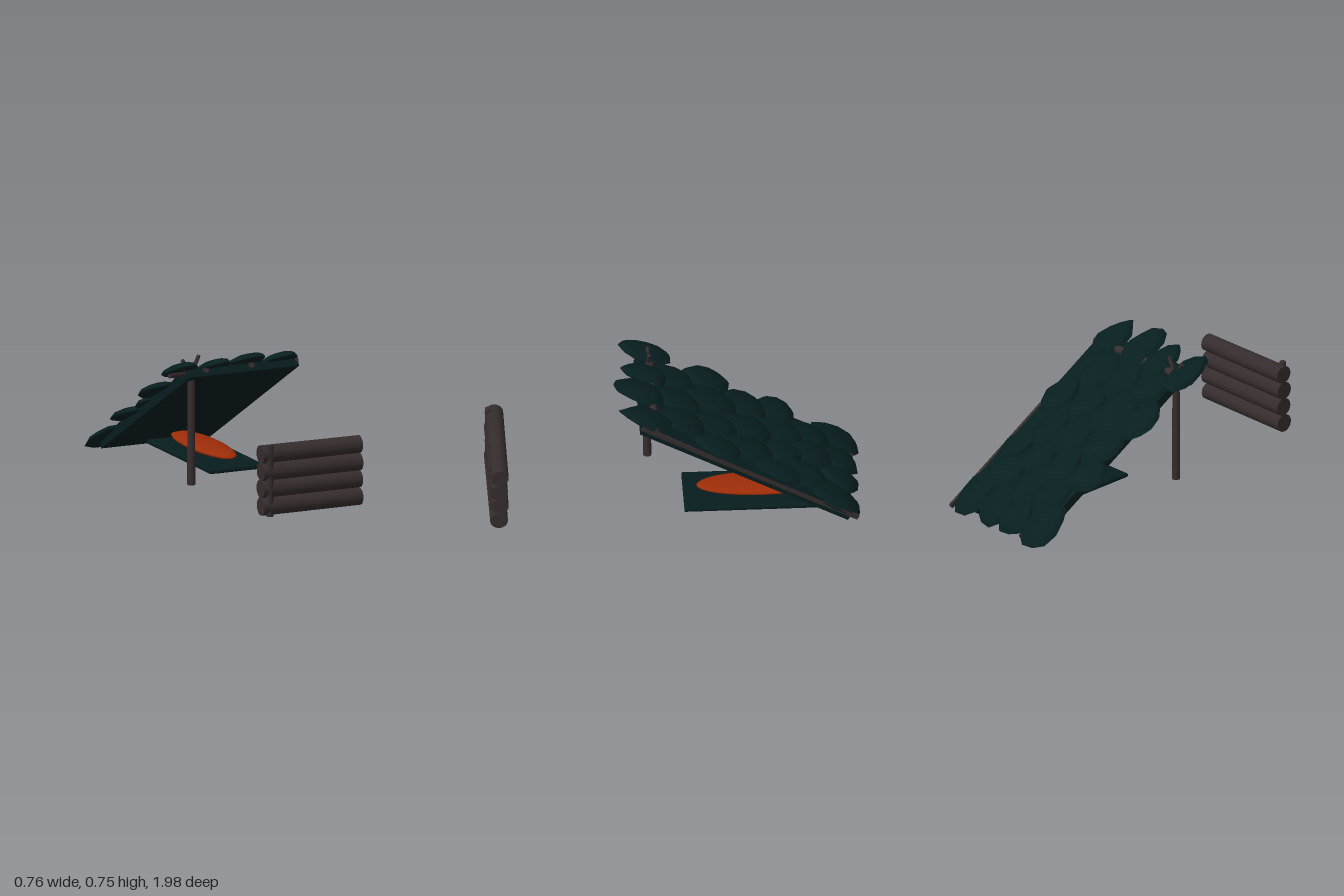
import * as THREE from 'three';
import { toCreasedNormals } from 'three/addons/utils/BufferGeometryUtils.js';

export function createModel() {
  const model = new THREE.Group();
  model.name = 'leanToShelter';
  const mat = (name, color) => {
    const m = new THREE.MeshStandardMaterial({ color });
    m.name = name;
    return m;
  };
  const bark = mat('bark brown', 0x352c2d);
  const leafGreen = mat('leaf green', 0x081e1f);
  const clothGreen = mat('cloth green', 0x071d1e);
  const orange = mat('bedroll orange', 0x9c2c08);

  const add = (parent, name, geometry, material) => {
    const mesh = new THREE.Mesh(geometry, material);
    mesh.name = name;
    parent.add(mesh);
    return mesh;
  };
  // Round stick running from a to b
  const stick = (parent, name, a, b, r0, r1 = r0) => {
    const start = new THREE.Vector3(...a), end = new THREE.Vector3(...b);
    const dir = end.clone().sub(start);
    const mesh = add(parent, name, new THREE.CylinderGeometry(r1, r0, dir.length(), 16), bark);
    mesh.position.copy(start).add(end).multiplyScalar(0.5);
    mesh.quaternion.setFromUnitVectors(new THREE.Vector3(0, 1, 0), dir.normalize());
    return mesh;
  };
  let seed = 7;
  const rand = () => (seed = (seed * 16807) % 2147483647) / 2147483647;

  // Log windbreak with its upright stake
  const windbreak = new THREE.Group();
  windbreak.name = 'windbreak';
  model.add(windbreak);
  [0.088, 0.183, 0.276, 0.37].forEach((y, i) => {
    const z = 0.951 - (i % 2) * 0.004;
    stick(windbreak, 'log', [-0.21, y, z], [0.368, y, z], 0.049, 0.047);
  });
  stick(windbreak, 'stake', [-0.17, 0.037, 0.979], [-0.17, 0.424, 0.979], 0.018);

  // Forked post and ridge beam
  stick(model, 'post', [-0.23, 0.036, 0.135], [-0.23, 0.66, 0.135], 0.022, 0.019);
  stick(model, 'forkTwig', [-0.23, 0.63, 0.13], [-0.183, 0.733, 0.13], 0.012, 0.01);
  stick(model, 'forkTwig', [-0.23, 0.63, 0.13], [-0.28, 0.715, 0.13], 0.012, 0.01);
  stick(model, 'ridgeBeam', [-0.355, 0.646, 0.125], [0.367, 0.646, 0.125], 0.023);

  // Sloping roof: local z runs up the slope, local y is its normal
  const slope = 0.513, length = 1.262;
  const roof = new THREE.Group();
  roof.name = 'roof';
  roof.position.set(0, 0.645, 0.2);
  roof.rotation.x = -slope;
  model.add(roof);
  const panel = add(roof, 'roofPanel', new THREE.BoxGeometry(0.637, 0.05, length), clothGreen);
  panel.position.set(0.0485, 0.014, -length / 2);
  for (const x of [-0.17, 0.095]) {
    stick(roof, 'rafter', [x, 0.021, -1.304], [x, 0.021, 0.006], 0.016);
  }
  const edge = add(roof, 'edgeRafter', new THREE.BoxGeometry(0.016, 0.026, 1.31), bark);
  edge.position.set(0.36, 0.026, -0.649);

  // Domed leaf: a lathed profile pushed into an irregular, pointed outline
  const leafProfile = [[0, 0], [0.9, 0], [1, 0.2], [0.84, 0.65], [0.5, 0.9], [0, 1]]
    .map(([r, y]) => new THREE.Vector2(r, y));
  const leafGeometry = (rx, rz) => {
    const sides = 11;
    const geo = new THREE.LatheGeometry(leafProfile, sides);
    const radii = Array.from({ length: sides }, () => 0.93 + 0.19 * rand());
    const p = geo.attributes.position;
    for (let i = 0; i < p.count; i++) {
      const x = p.getX(i), z = p.getZ(i);
      const turn = Math.atan2(x, z) / (2 * Math.PI) + 1;
      const k = radii[Math.round(turn * sides) % sides];
      const taper = 1 - 0.22 * z;
      p.setXYZ(i, x * k * rx * taper, p.getY(i) * 0.045, z * k * rz);
    }
    return toCreasedNormals(geo, 0.6);
  };

  // Leaf rows from the back eave to the front: x, z, half width, half depth
  const rows = [
    [[-0.25, -0.865, 0.1, 0.135], [-0.06, -0.875, 0.095, 0.105], [0.09, -0.875, 0.09, 0.105], [0.28, -0.84, 0.1, 0.14]],
    [[-0.16, -0.7, 0.1, 0.13], [0, -0.7, 0.09, 0.13], [0.2, -0.68, 0.11, 0.12]],
    [[-0.26, -0.54, 0.1, 0.1], [-0.08, -0.55, 0.1, 0.13], [0.09, -0.56, 0.09, 0.11], [0.27, -0.53, 0.08, 0.12]],
    [[-0.2, -0.37, 0.1, 0.12], [0.01, -0.38, 0.11, 0.13], [0.18, -0.37, 0.09, 0.14]],
    [[-0.28, -0.18, 0.1, 0.12], [-0.1, -0.18, 0.11, 0.14], [0.1, -0.21, 0.1, 0.13], [0.28, -0.21, 0.09, 0.12]],
    [[-0.17, 0, 0.1, 0.11], [0.02, -0.02, 0.1, 0.12], [0.18, -0.03, 0.1, 0.12]],
    [[-0.3, 0.14, 0.085, 0.12], [-0.1, 0.15, 0.082, 0.11], [0.07, 0.185, 0.095, 0.125], [0.28, 0.155, 0.088, 0.13]],
  ];
  const c = Math.cos(slope);
  rows.forEach((row, r) => {
    // The back eave droops downhill, the front row droops forward
    const tilt = r === 0 ? -0.06 : r === 6 ? 0.13 : 0.07;
    const lift = r === 0 ? 0.018 : 0.03;
    for (const [x, z, rx, rz] of row) {
      const leaf = add(roof, 'leaf', leafGeometry(rx, rz / c), leafGreen);
      leaf.position.set(x, lift + 0.006 * rand(), (z - 0.173) / c);
      leaf.rotation.set(tilt, 0, 0.1 * (rand() - 0.5));
    }
  });

  // Ground mat with rounded corners and the bedroll on it
  const w = 0.145, d = 0.375;
  const outline = new THREE.Shape([
    [-w, -d], [w, -d], [w, d], [-w, d],
  ].map(([x, y]) => new THREE.Vector2(x, y)));
  const matGeo = new THREE.ExtrudeGeometry(outline, {
    depth: 0.01, bevelThickness: 0.009, bevelSize: 0.015, bevelSegments: 3,
  });
  matGeo.rotateX(-Math.PI / 2);
  add(model, 'groundMat', matGeo, clothGreen).position.set(0.12, 0.042, -0.425);
  const bedroll = add(model, 'bedroll', new THREE.SphereGeometry(1, 32, 16), orange);
  bedroll.scale.set(0.1, 0.027, 0.345);
  bedroll.position.set(0.12, 0.092, -0.45);

  return model;
}
